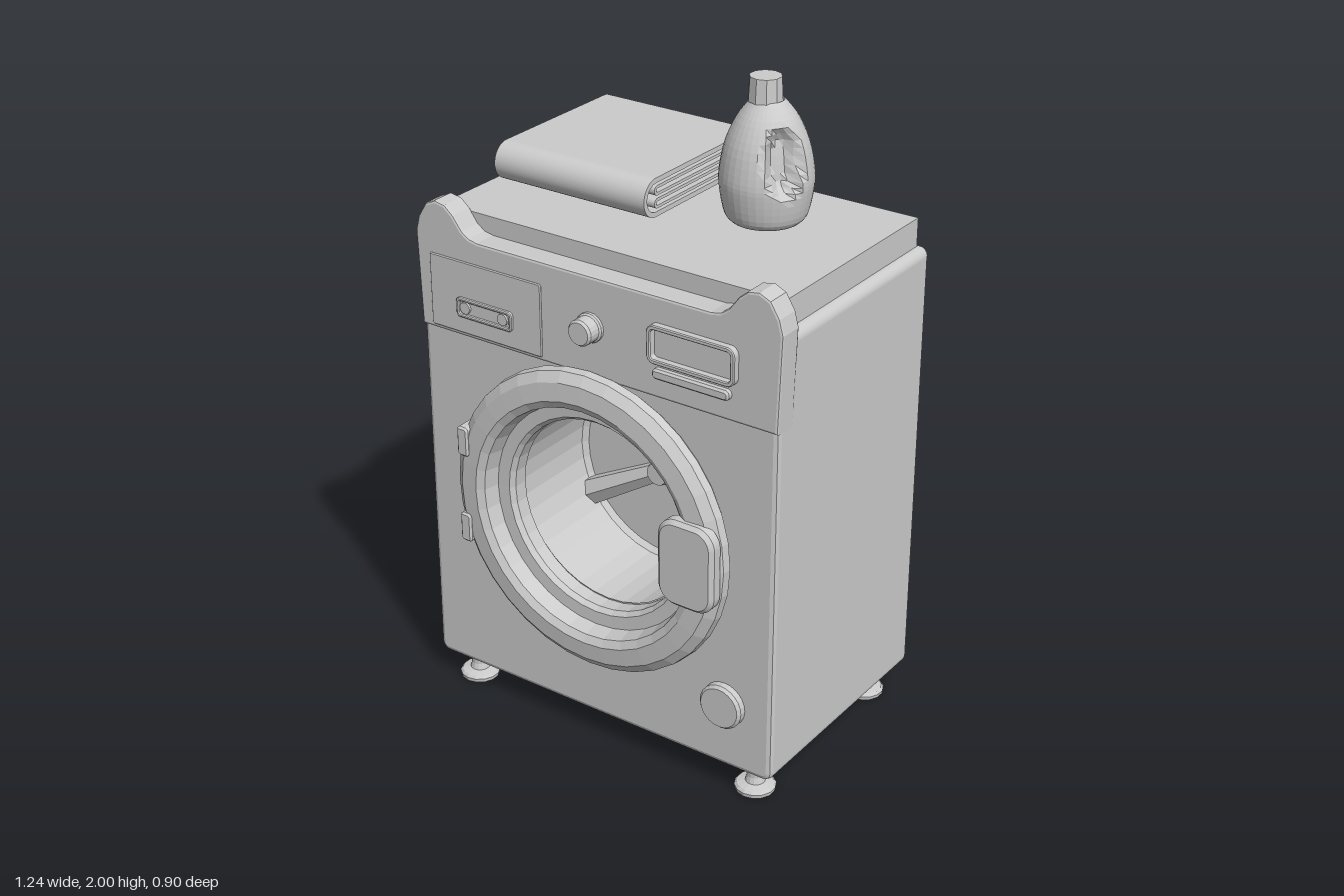
import * as THREE from 'three';

const flat = new THREE.MeshStandardMaterial({ color: 0xcccccc, flatShading: true, side: THREE.DoubleSide });
const DOOR_Y = 0.765;

export function createModel() {
  const model = new THREE.Group();

  function add(name, geometry, x = 0, y = 0, z = 0) {
    const mesh = new THREE.Mesh(geometry, flat);
    mesh.name = name;
    mesh.position.set(x, y, z);
    model.add(mesh);
    return mesh;
  }

  // rounded rectangle outline centred on the origin
  function rounded(w, h, r, Type = THREE.Shape) {
    const s = new Type();
    const corners = [[1, -1, -90], [1, 1, 0], [-1, 1, 90], [-1, -1, 180]];
    for (const [sx, sy, a] of corners) {
      const a0 = THREE.MathUtils.degToRad(a);
      s.absarc(sx * (w / 2 - r), sy * (h / 2 - r), r, a0, a0 + Math.PI / 2, false);
    }
    s.closePath();
    return s;
  }

  // extrusion from z0 to z1 whose bevel stays inside the outline
  function slab(shape, z0, z1, bevel = 0.006, segments = 1) {
    const g = new THREE.ExtrudeGeometry(shape, {
      depth: z1 - z0 - 2 * bevel, bevelEnabled: bevel > 0, bevelSize: bevel, bevelThickness: bevel,
      bevelOffset: -bevel, bevelSegments: segments, curveSegments: 8,
    });
    return g.translate(0, 0, z0 + bevel);
  }

  // plate given by its front-view limits
  function plate(name, x0, x1, y0, y1, z0, z1, r = 0.02, bevel = 0.006) {
    return add(name, slab(rounded(x1 - x0, y1 - y0, r), z0, z1, bevel), (x0 + x1) / 2, (y0 + y1) / 2);
  }

  // frame with an opening
  function frame(name, x0, x1, y0, y1, z0, z1, r, border) {
    const s = rounded(x1 - x0, y1 - y0, r);
    s.holes.push(rounded(x1 - x0 - 2 * border, y1 - y0 - 2 * border, Math.max(r - border, 0.005), THREE.Path));
    return add(name, slab(s, z0, z1, 0.003), (x0 + x1) / 2, (y0 + y1) / 2);
  }

  const lathe = (pts, n) => new THREE.LatheGeometry(pts.map(p => new THREE.Vector2(...p)), n);
  const latheZ = (pts, n) => lathe(pts, n).rotateX(Math.PI / 2);

  // cabinet with a round opening for the drum
  const front = rounded(1.22, 1.39, 0.03);
  const opening = new THREE.Path();
  opening.absarc(0, DOOR_Y - 0.785, 0.32, 0, Math.PI * 2, true);
  front.holes.push(opening);
  add('cabinet', slab(front, -0.42, 0.355, 0.016, 2), 0, 0.785);
  add('worktop', new THREE.BoxGeometry(1.16, 0.095, 0.685), 0, 1.519, -0.055);

  // control panel with a raised ear at each end
  const half = [[0.61, 1.21], [0.62, 1.5], [0.608, 1.545], [0.58, 1.59], [0.545, 1.606],
    [0.51, 1.6], [0.48, 1.575], [0.45, 1.535], [0.425, 1.518], [0.395, 1.512]];
  const outline = [...half, ...half.map(([x, y]) => [-x, y]).reverse()];
  add('controlPanel', slab(new THREE.Shape(outline.map(p => new THREE.Vector2(...p))), 0.282, 0.361, 0.008, 2));

  // controls
  plate('detergentDrawer', -0.57, -0.17, 1.222, 1.445, 0.35, 0.365, 0.008, 0.003);
  frame('drawerHandle', -0.47, -0.27, 1.275, 1.335, 0.355, 0.375, 0.012, 0.01);
  for (const x of [-0.44, -0.305])
    add('drawerButton', new THREE.CylinderGeometry(0.018, 0.018, 0.02, 12).rotateX(Math.PI / 2), x, 1.305, 0.362);
  frame('displayFrame', 0.2, 0.485, 1.32, 1.435, 0.355, 0.383, 0.025, 0.014);
  plate('buttonBar', 0.215, 0.465, 1.274, 1.305, 0.355, 0.38, 0.014);
  add('programKnob', latheZ([[0.044, 0.355], [0.044, 0.37], [0.039, 0.375], [0.039, 0.41], [0.033, 0.418], [0, 0.418]], 20), 0, 1.362);

  // door ring running into the drum
  add('doorRing', latheZ([[0.455, 0.352], [0.472, 0.372], [0.468, 0.398], [0.44, 0.42], [0.385, 0.425],
    [0.362, 0.412], [0.352, 0.362], [0.312, 0.36], [0.3, 0.345], [0.3, 0.3]], 36), 0.003, DOOR_Y - 0.004);
  add('drum', latheZ([[0, 0], [0.29, 0], [0.305, 0.015], [0.305, 0.3], [0.3, 0.3]], 36), 0, DOOR_Y);

  // three ribs meeting at a hub on the drum's back wall
  for (let i = 0; i < 3; i++) {
    const rib = new THREE.CylinderGeometry(0.045, 0.03, 0.3, 6);
    rib.translate(0, 0.15, 0);
    add('drumRib', rib, 0, DOOR_Y, 0.015).rotation.z = i * Math.PI * 2 / 3;
  }
  add('drumHub', new THREE.CylinderGeometry(0.035, 0.05, 0.05, 12).rotateX(Math.PI / 2), 0, DOOR_Y, 0.03);

  // door handle, hinges and filter cap
  plate('doorHandle', 0.278, 0.465, 0.632, 0.902, 0.395, 0.447, 0.06, 0.012);
  for (const y of [0.62, 0.905])
    plate('hinge', -0.445, -0.405, y - 0.047, y + 0.047, 0.35, 0.428, 0.012);
  add('filterCap', latheZ([[0.07, 0.35], [0.07, 0.375], [0.062, 0.384], [0, 0.384]], 24), 0.45, 0.302);

  // back cover, service hatch and hose hook
  add('backCover', latheZ([[0, -0.45], [0.31, -0.45], [0.335, -0.44], [0.345, -0.41]], 36), 0, DOOR_Y);
  plate('serviceHatch', -0.44, -0.16, 0.14, 0.325, -0.44, -0.41, 0.025);
  const hook = new THREE.TorusGeometry(0.1, 0.024, 8, 16, Math.PI * 1.1);
  hook.rotateZ(-Math.PI * 0.55).scale(1, 0.9, 1.1);
  add('hoseHook', hook, 0.375, 1.35, -0.428);

  // adjustable feet
  const foot = [[0, 0], [0.06, 0], [0.062, 0.012], [0.055, 0.02], [0.03, 0.026], [0.025, 0.045], [0.028, 0.1]];
  for (const x of [-0.515, 0.515])
    for (const z of [0.285, -0.325]) add('foot', lathe(foot, 14), x, 0, z);

  // folded towel: nested flattened loops drawn from the side
  const towel = new THREE.Group();
  towel.name = 'foldedTowel';
  for (const [length, height, y, z] of [[0.58, 0.115, 0, 0], [0.5, 0.03, 0.019, 0.01], [0.5, 0.03, -0.019, 0.01]]) {
    const s = rounded(length, height, height / 2 - 0.0005);
    const t = height > 0.1 ? 0.015 : 0.009;
    s.holes.push(rounded(length - 2 * t, height - 2 * t, height / 2 - t - 0.0005, THREE.Path));
    const fold = new THREE.Mesh(slab(s, -0.2625, 0.2625, 0), flat);
    fold.name = 'towelFold';
    fold.position.set(z, y, 0);
    towel.add(fold);
  }
  towel.rotation.y = Math.PI / 2;
  towel.position.set(-0.2375, 1.6575, -0.145);
  model.add(towel);

  // detergent bottle with an oval grip pressed into one side
  const profile = new THREE.SplineCurve([[0.1, 1.587], [0.118, 1.61], [0.132, 1.68], [0.133, 1.73], [0.118, 1.81],
    [0.088, 1.88], [0.055, 1.925], [0.045, 1.935]].map(p => new THREE.Vector2(...p))).getPoints(24);
  const bottle = new THREE.LatheGeometry([new THREE.Vector2(0, 1.587), ...profile], 36);
  const p = bottle.attributes.position;
  const grip = Math.atan2(0.55, 0.84);
  for (let i = 0; i < p.count; i++) {
    const x = p.getX(i), z = p.getZ(i), r = Math.hypot(x, z);
    const a = Math.atan2(z, x) - grip;
    const d = Math.hypot(a * r / 0.062, (p.getY(i) - 1.78) / 0.1);
    if (r > 0.03 && Math.abs(a) < 1 && d < 1) {
      const k = 1 - 0.4 * Math.min(1, (1 - d) * 3);
      p.setX(i, x * k);
      p.setZ(i, z * k);
    }
  }
  bottle.computeVertexNormals();
  add('bottle', bottle, 0.257, 0, -0.112);
  add('bottleCap', new THREE.CylinderGeometry(0.046, 0.05, 0.07, 10), 0.25, 1.965, -0.108);

  return model;
}
